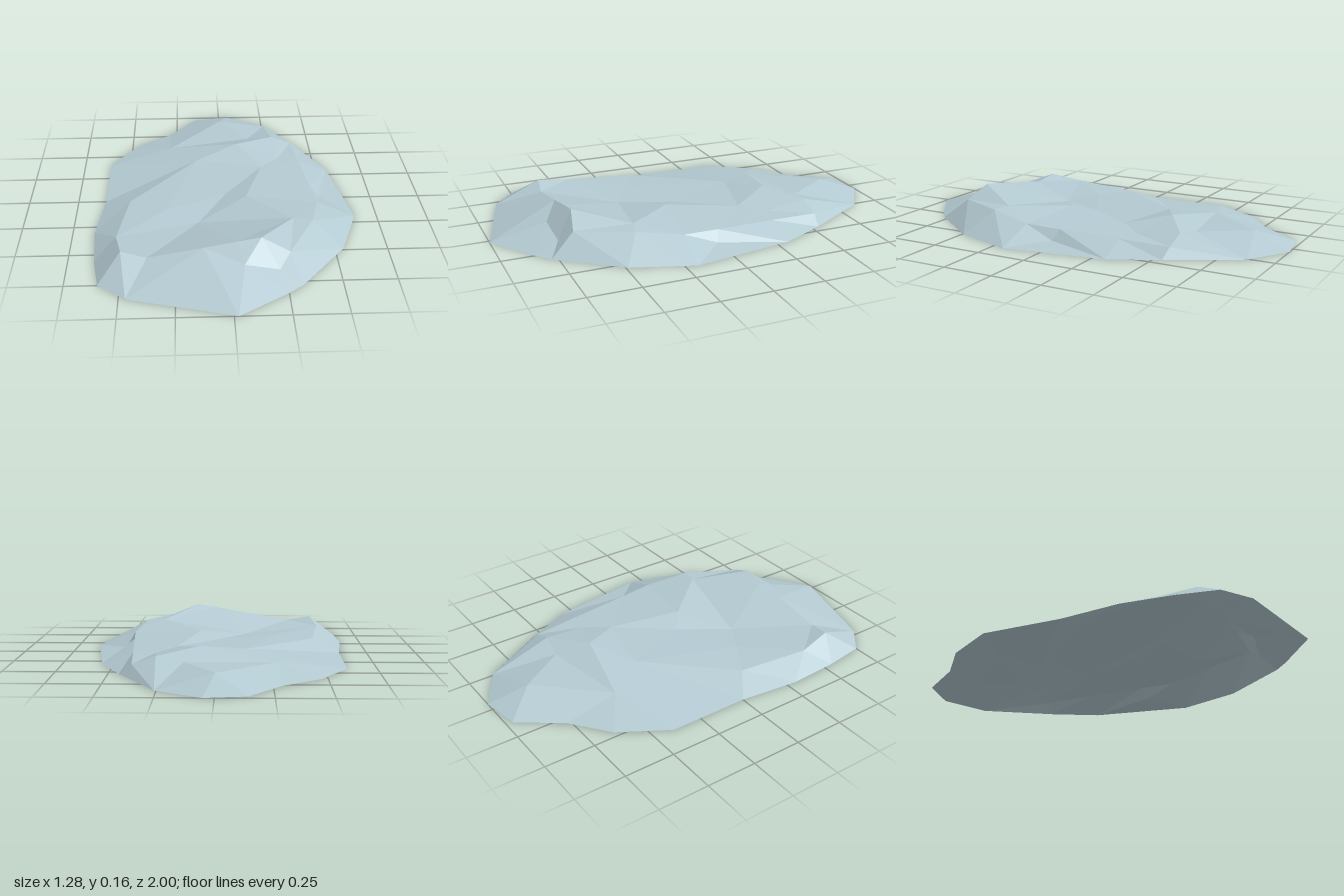
import * as THREE from 'three';

// Ground outline (x, z), walked once around
const outline = [
  [0.05, -1], [0.26, -0.87], [0.45, -0.54], [0.56, -0.31], [0.64, 0.19], [0.54, 0.49],
  [0.32, 0.78], [0.25, 0.84], [0.02, 1], [-0.47, 0.86], [-0.6, 0.75], [-0.63, 0.55],
  [-0.645, 0.3], [-0.61, 0], [-0.61, -0.4], [-0.47, -0.63], [-0.29, -0.77], [-0.14, -0.97],
];

// Raised points (x, height, z)
const frontCrest = [
  [-0.53, 0.065, 0.45], [-0.5, 0.093, 0.62], [-0.38, 0.07, 0.64], [-0.12, 0.115, 0.637],
  [0.03, 0.142, 0.633], [0.14, 0.16, 0.63], [0.27, 0.1, 0.66],
];
const frontFace = [[0.06, 0.08, 0.73], [0.22, 0.045, 0.72]];
const sideCrest = [
  [0.4, 0.105, 0.4], [0.31, 0.11, 0.38], [0.45, 0.075, 0.18], [0.435, 0.067, 0],
  [0.41, 0.057, -0.3], [0.39, 0.047, -0.55], [0.48, 0.02, 0.02],
];
const backRidge = [
  [0, 0.065, -0.81], [0.15, 0.064, -0.575], [0.28, 0.085, -0.55], [0.3, 0.06, -0.34],
  [0.08, 0.11, -0.42],
];
const hollow = [
  [0, 0.06, 0.05], [0.2, 0.07, -0.22], [0.1, 0.092, 0.13], [-0.14, 0.045, 0.3],
  [-0.14, 0.075, -0.3], [-0.28, 0.05, -0.5], [-0.48, 0.055, 0.1], [-0.3, 0.06, 0.2],
];

// Ray test against the ground outline
function insideOutline(x, z) {
  let inside = false;
  outline.forEach(([ax, az], i) => {
    const [bx, bz] = outline[(i + 1) % outline.length];
    if ((az > z) !== (bz > z) && x < ax + ((z - az) / (bz - az)) * (bx - ax)) inside = !inside;
  });
  return inside;
}

// Doubled area in plan, positive when the face looks up
const turn = (a, b, c) => (b[2] - a[2]) * (c[0] - a[0]) - (b[0] - a[0]) * (c[2] - a[2]);

function inCircle(a, b, c, p) {
  const m = [a, b, c].map((q) => {
    const x = q[0] - p[0], z = q[2] - p[2];
    return [x, z, x * x + z * z];
  });
  const det = m[0][0] * (m[1][1] * m[2][2] - m[1][2] * m[2][1])
    - m[0][1] * (m[1][0] * m[2][2] - m[1][2] * m[2][0])
    + m[0][2] * (m[1][0] * m[2][1] - m[1][1] * m[2][0]);
  return det * turn(a, b, c) < 0;
}

// Join scattered points into facets (Delaunay in plan)
function facets(points) {
  const far = [[-60, 0, -50], [60, 0, -50], [0, 0, 70]];
  let tris = [far];
  for (const p of points) {
    const bad = tris.filter((t) => inCircle(...t, p));
    const edges = bad.flatMap(([a, b, c]) => [[a, b], [b, c], [c, a]]);
    const rim = edges.filter(([a, b]) =>
      edges.filter(([c, d]) => (a === c && b === d) || (a === d && b === c)).length === 1);
    tris = tris.filter((t) => !bad.includes(t));
    for (const [a, b] of rim) tris.push([a, b, p]);
  }
  return tris
    .filter((t) => !t.some((p) => far.includes(p)))
    .filter(([a, b, c]) => insideOutline((a[0] + b[0] + c[0]) / 3, (a[2] + b[2] + c[2]) / 3))
    .map(([a, b, c]) => (turn(a, b, c) > 0 ? [a, b, c] : [a, c, b]));
}

export function createModel() {
  const group = new THREE.Group();
  group.name = 'flatRock';

  const stone = new THREE.MeshStandardMaterial({
    name: 'paleBlueStone', color: 0xb4cad2, flatShading: true, side: THREE.DoubleSide,
  });

  const rim = outline.map(([x, z]) => [x, 0, z]);
  const tris = facets([...rim, ...frontCrest, ...frontFace, ...sideCrest, ...backRidge, ...hollow]);

  // Open-bottomed faceted shell
  const geometry = new THREE.BufferGeometry();
  geometry.setAttribute('position', new THREE.Float32BufferAttribute(tris.flat(2), 3));
  geometry.computeVertexNormals();

  const shell = new THREE.Mesh(geometry, stone);
  shell.name = 'rockShell';
  group.add(shell);
  return group;
}
